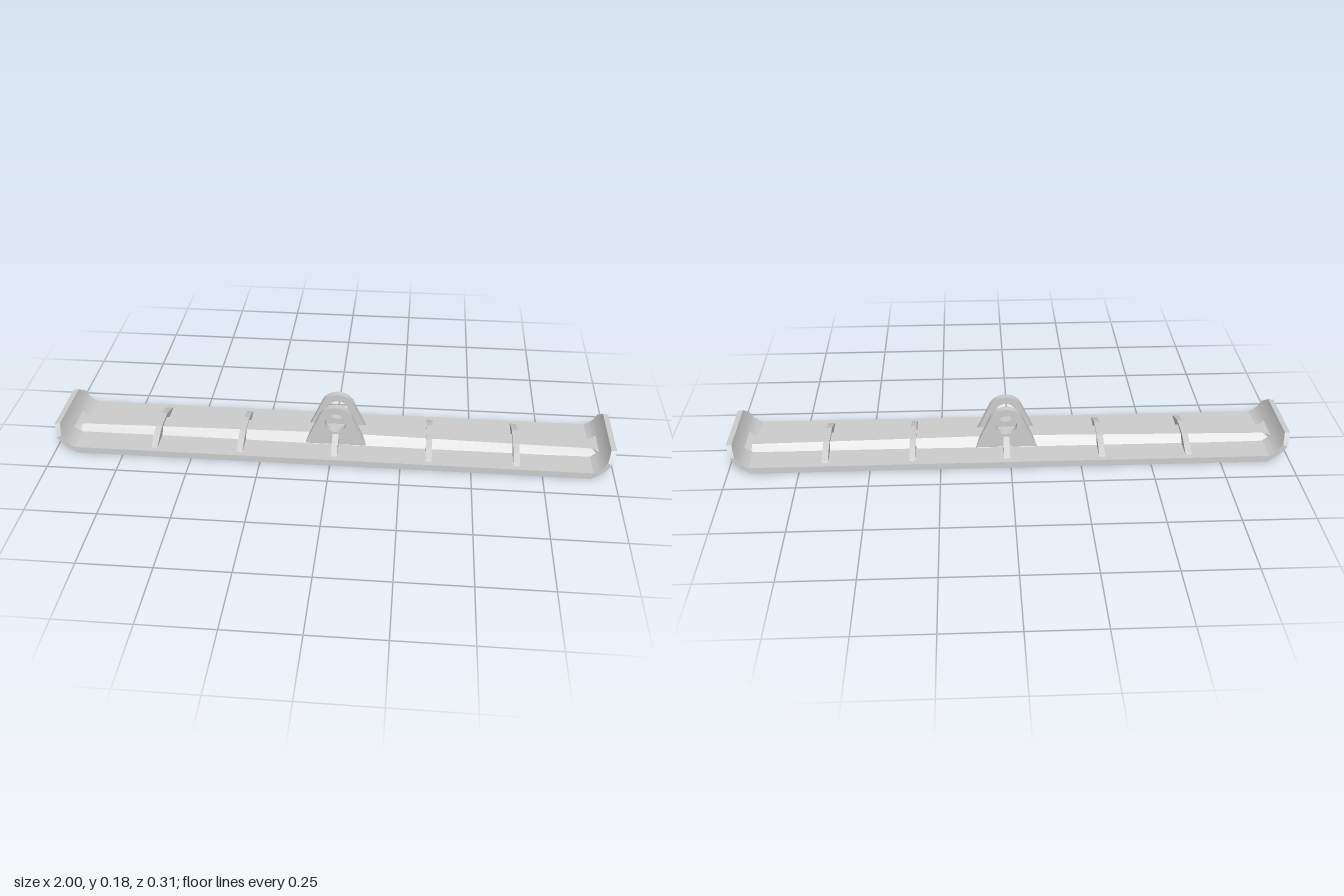
import * as THREE from 'three';
import { toCreasedNormals } from 'three/addons/utils/BufferGeometryUtils.js';

const material = new THREE.MeshStandardMaterial({ color: 0xcccccc });

// Skin a run of four-cornered sections, capped at both ends
function loft(sections) {
  const index = [];
  const n = 4;
  for (let i = 0; i < sections.length - 1; i++) {
    for (let j = 0; j < n; j++) {
      const a = i * n + j, b = i * n + ((j + 1) % n);
      index.push(a, b, b + n, a, b + n, a + n);
    }
  }
  const e = (sections.length - 1) * n;
  index.push(2, 1, 0, 3, 2, 0, e, e + 1, e + 2, e, e + 2, e + 3);
  const geo = new THREE.BufferGeometry();
  geo.setAttribute('position', new THREE.Float32BufferAttribute(sections.flat(2), 3));
  geo.setIndex(index);
  return toCreasedNormals(geo, 0.45);
}

// Section with a lower edge (x0, y0, half width w0) and an upper edge (x1, y1, w1)
const section = ([x0, y0, w0, x1, y1, w1], s) => [
  [s * x0, y0, -w0], [s * x1, y1, -w1], [s * x1, y1, w1], [s * x0, y0, w0],
];

// Half profile, centre to tip, mirrored to the other side
const mirrored = (half) => [
  ...half.slice().reverse().map((p) => section(p, -1)),
  ...half.map((p) => section(p, 1)),
];

// Side outline in z and y, extruded to a thickness along x
function crossPlate(points, x, thickness) {
  const shape = new THREE.Shape(points.map(([z, y]) => new THREE.Vector2(-z, y)));
  const geo = new THREE.ExtrudeGeometry(shape, { depth: thickness, bevelEnabled: false });
  geo.translate(0, 0, -thickness / 2);
  geo.rotateY(Math.PI / 2);
  geo.translate(x, 0, 0);
  return geo;
}

export function createModel() {
  const group = new THREE.Group();
  const add = (name, geo) => {
    const mesh = new THREE.Mesh(geo, material);
    mesh.name = name;
    group.add(mesh);
  };

  // Long sole with upturned ends and clipped corners
  const W = 0.156;
  add('solePlate', loft(mirrored([
    [0.3, 0, W, 0.3, 0.024, W],
    [0.917, 0, W, 0.924, 0.024, W],
    [0.95, 0.022, W, 0.938, 0.032, W],
    [0.969, 0.04, W, 0.955, 0.047, W],
    [0.984, 0.062, W, 0.968, 0.07, W],
    [0.993, 0.08, 0.137, 0.975, 0.084, 0.137],
    [1.0, 0.096, 0.118, 0.98, 0.099, 0.118],
  ])));

  // Raised spine, highest in the middle, flaring into the upturned ends
  add('spine', loft(mirrored([
    [0.1, 0.015, 0.064, 0.1, 0.056, 0.031],
    [0.93, 0.015, 0.064, 0.93, 0.044, 0.031],
    [0.958, 0.03, 0.06, 0.958, 0.045, 0.06],
  ])));

  // Cross ribs arching over the spine
  for (const x of [-0.637, -0.327, 0.35, 0.66]) {
    add('crossRib', crossPlate([
      [-0.137, 0.018], [0.137, 0.018], [0.132, 0.027], [0.085, 0.046], [0.045, 0.058],
      [-0.045, 0.058], [-0.085, 0.046], [-0.132, 0.027],
    ], x, 0.022));
  }

  // Pair of pivot lugs with a gusset on the outside of each
  const cx = 0.013, cy = 0.115, r = 0.064;
  const lug = new THREE.Shape();
  lug.moveTo(cx - 0.113, 0.02);
  lug.lineTo(cx + 0.113, 0.02);
  lug.absarc(cx, cy, r, 0.4, Math.PI - 0.4, false);
  lug.closePath();
  const hole = new THREE.Path();
  hole.absarc(cx, cy, 0.038, 0, Math.PI * 2, true);
  lug.holes.push(hole);
  for (const s of [1, -1]) {
    const geo = new THREE.ExtrudeGeometry(lug, { depth: 0.024, bevelEnabled: false, curveSegments: 24 });
    geo.translate(0, 0, s * 0.044 - 0.012);
    add('pivotLug', toCreasedNormals(geo, 0.5));
    const outline = [[0.05, 0.018], [0.137, 0.018], [0.132, 0.027], [0.09, 0.05], [0.05, 0.072]];
    const points = outline.map(([z, y]) => [s * z, y]);
    add('lugGusset', crossPlate(points, cx, 0.022));
  }

  // Centre the whole model on the ground
  return group;
}
